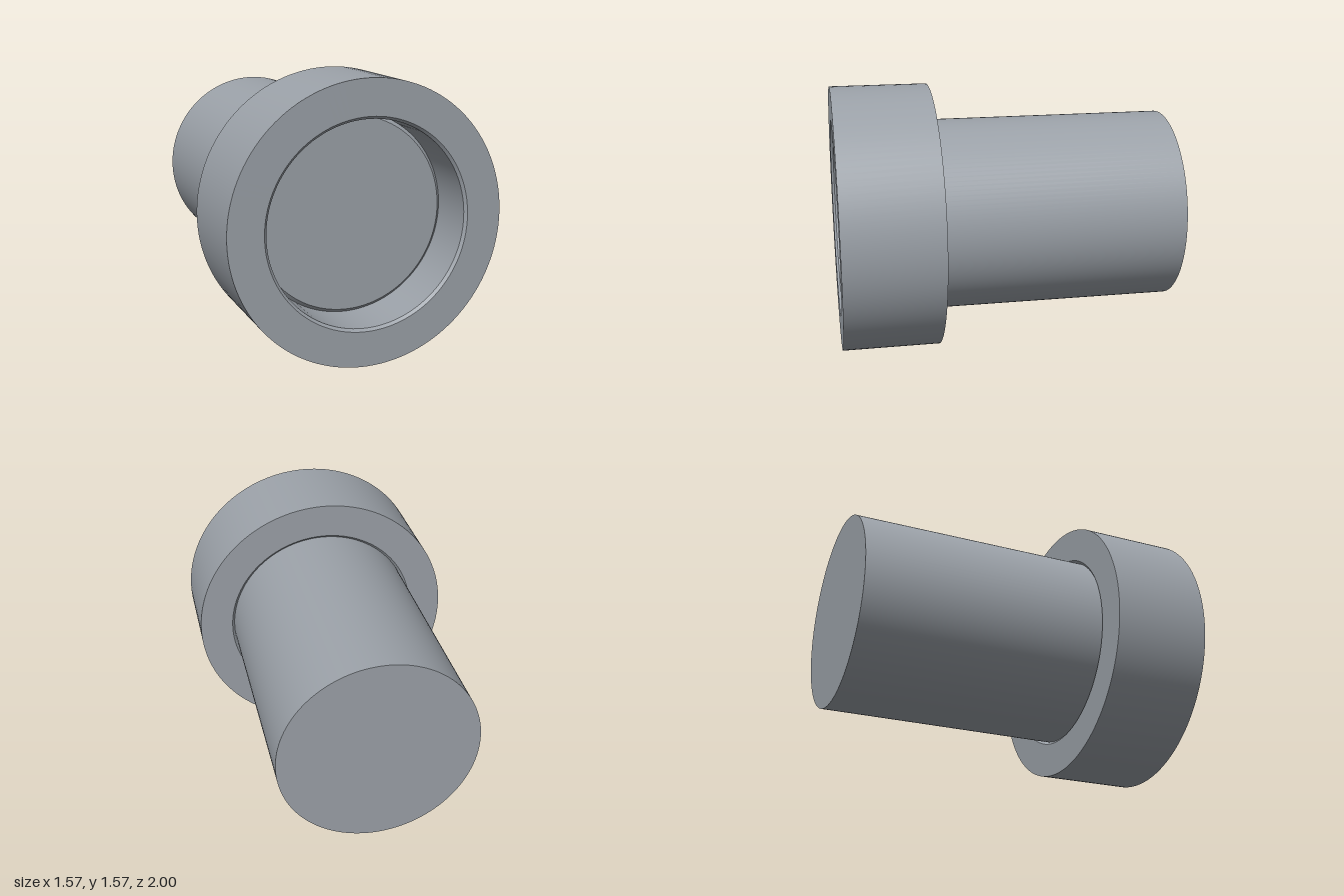
import * as THREE from 'three';
import { toCreasedNormals } from 'three/addons/utils/BufferGeometryUtils.js';

const SEGMENTS = 128;
const AXIS_HEIGHT = 0.785;

// Revolves a [radius, z] profile around the z axis, keeping its corners sharp
function turned(name, profile, material) {
  const points = profile.map(([r, z]) => new THREE.Vector2(r, z));
  const lathe = new THREE.LatheGeometry(points, SEGMENTS).rotateX(Math.PI / 2);
  const mesh = new THREE.Mesh(toCreasedNormals(lathe, Math.PI / 6), material);
  mesh.name = name;
  mesh.position.y = AXIS_HEIGHT;
  return mesh;
}

export function createModel() {
  const steel = new THREE.MeshStandardMaterial({ color: 0x9ba1a8 });
  steel.name = 'steel grey';

  const outer = 0.785, bore = 0.57, chamfer = 0.015;
  const back = 0.43, front = 1;

  const group = new THREE.Group();
  group.name = 'pinWithCollar';

  // Ring with a chamfered bore at both ends
  group.add(turned('collar', [
    [bore + chamfer, back],
    [outer, back],
    [outer, front],
    [bore + chamfer, front],
    [bore, front - chamfer],
    [bore, back + chamfer],
    [bore + chamfer, back],
  ], steel));

  // Solid pin ending halfway through the collar with a bevelled nose
  group.add(turned('pin', [
    [0, -1],
    [bore, -1],
    [bore, 0.695],
    [bore - 0.02, 0.715],
    [0, 0.715],
  ], steel));

  return group;
}
